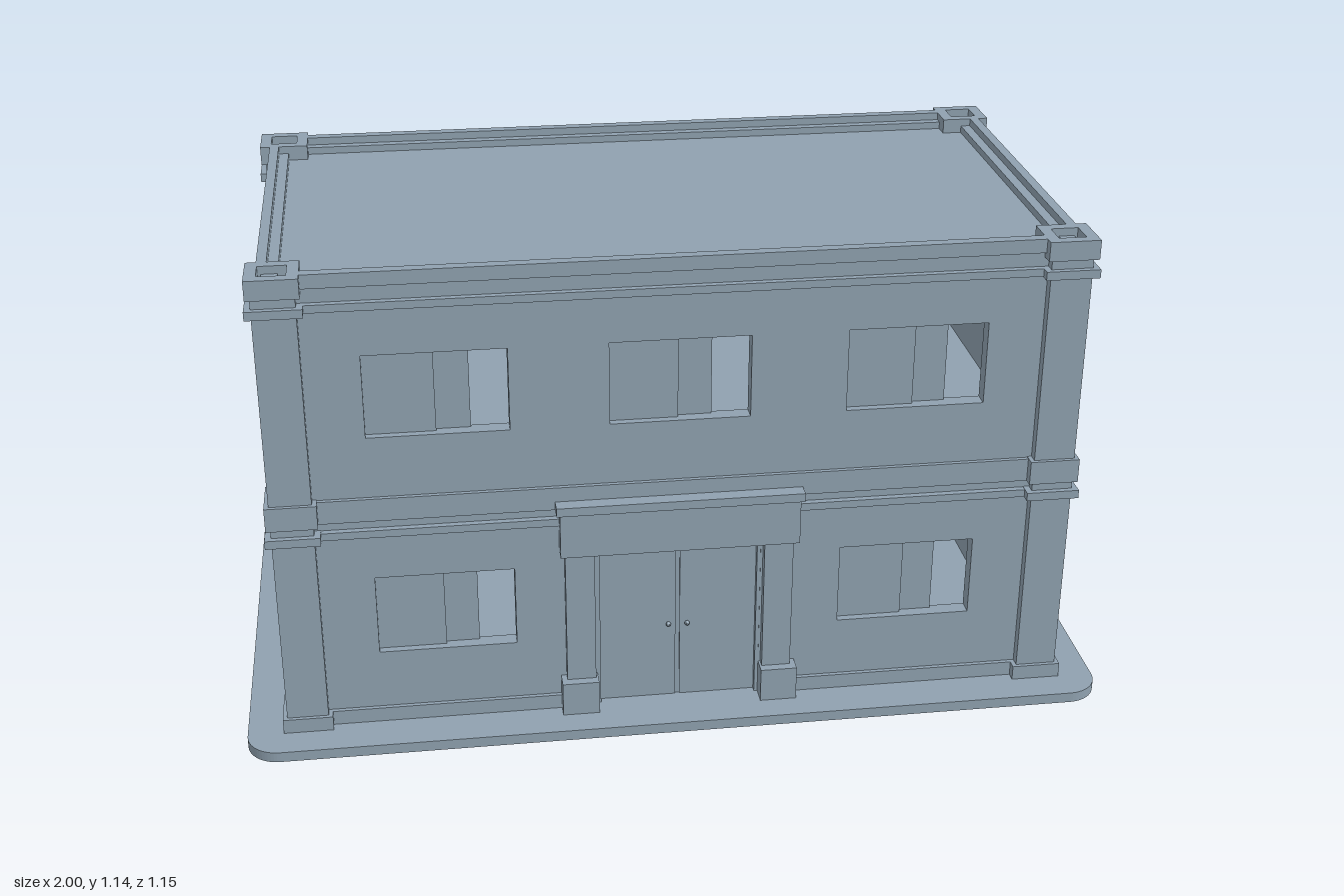
import * as THREE from 'three';

const mat = new THREE.MeshStandardMaterial({ color: 0x8fa1af, flatShading: true });

function add(parent, name, geometry) {
  const m = new THREE.Mesh(geometry, mat);
  m.name = name;
  parent.add(m);
  return m;
}

// box given by its extents on each axis
function box(parent, name, [x0, x1], [y0, y1], [z0, z1]) {
  const m = add(parent, name, new THREE.BoxGeometry(x1 - x0, y1 - y0, z1 - z0));
  m.position.set((x0 + x1) / 2, (y0 + y1) / 2, (z0 + z1) / 2);
  return m;
}

// an interval, mirrored to the negative side when k < 0
const span = (k, a, b) => (k > 0 ? [a, b] : [-b, -a]);

function rectPath(target, x0, x1, y0, y1) {
  target.moveTo(x0, y0);
  target.lineTo(x1, y0);
  target.lineTo(x1, y1);
  target.lineTo(x0, y1);
  target.closePath();
  return target;
}

// rectangular ring of half sizes (ox, oz) with opening (ix, iz), from y0 to y1
function ring(parent, name, ox, oz, ix, iz, y0, y1) {
  const s = rectPath(new THREE.Shape(), -ox, ox, -oz, oz);
  s.holes.push(rectPath(new THREE.Path(), -ix, ix, -iz, iz));
  const g = new THREE.ExtrudeGeometry(s, { depth: y1 - y0, bevelEnabled: false });
  g.rotateX(-Math.PI / 2);
  const m = add(parent, name, g);
  m.position.y = y0;
  return m;
}

const WX = 0.885, WZ = 0.467;      // outer wall faces
const IX = 0.85, IZ = 0.43;        // inner wall faces
const GROUND = 0.025, ROOF = 1.105, TOP = 1.14;
const WIN_HALF = 0.157;
const WINDOWS = [[-0.532, 0.205], [0.533, 0.205], [-0.532, 0.75], [0.002, 0.75], [0.533, 0.75]];

function makeBase(parent) {
  const X = 1, Z = 0.575, r = 0.075;
  const s = new THREE.Shape();
  s.absarc(X - r, Z - r, r, 0, Math.PI / 2);
  s.absarc(-X + r, Z - r, r, Math.PI / 2, Math.PI);
  s.absarc(-X + r, -Z + r, r, Math.PI, Math.PI * 1.5);
  s.absarc(X - r, -Z + r, r, Math.PI * 1.5, Math.PI * 2);
  const g = new THREE.ExtrudeGeometry(s, { depth: GROUND, bevelEnabled: false, curveSegments: 8 });
  g.rotateX(-Math.PI / 2);
  add(parent, 'baseSlab', g);
}

function makeWalls(parent) {
  // front wall with window and door openings
  const s = new THREE.Shape();
  [[-WX, GROUND], [-0.19, GROUND], [-0.19, 0.437], [0.19, 0.437], [0.19, GROUND],
    [WX, GROUND], [WX, ROOF], [-WX, ROOF]].forEach(([x, y], i) => (i ? s.lineTo(x, y) : s.moveTo(x, y)));
  s.closePath();
  for (const [x, y] of WINDOWS) {
    s.holes.push(rectPath(new THREE.Path(), x - WIN_HALF, x + WIN_HALF, y, y + 0.195));
  }
  const front = add(parent, 'frontWall', new THREE.ExtrudeGeometry(s, { depth: WZ - IZ, bevelEnabled: false }));
  front.position.z = IZ;
  box(parent, 'backWall', [-WX, WX], [GROUND, ROOF], [-WZ, -IZ]);
  box(parent, 'leftWall', [IX, WX], [GROUND, ROOF], [-IZ, IZ]);
  box(parent, 'rightWall', [-WX, -IX], [GROUND, ROOF], [-IZ, IZ]);
  box(parent, 'upperFloor', [-IX, IX], [0.53, 0.58], [-IZ, IZ]);
  box(parent, 'roof', [-IX, IX], [1.06, ROOF], [-IZ, IZ]);

  // plinth strips and parapet runs between the corner pillars
  const plinth = [GROUND, 0.06], parapet = [1.108, TOP];
  for (const k of [-1, 1]) {
    box(parent, 'frontPlinth', span(k, 0.2, 0.82), plinth, [WZ - 0.01, WZ + 0.01]);
    box(parent, 'sidePlinth', span(k, WX - 0.01, WX + 0.01), plinth, [-0.41, 0.41]);
    box(parent, 'longParapet', [-0.806, 0.806], parapet, span(k, 0.452, WZ + 0.01));
    box(parent, 'sideParapet', span(k, 0.873, WX + 0.01), parapet, [-0.393, 0.393]);
  }
  box(parent, 'backPlinth', [-0.82, 0.82], plinth, [-WZ - 0.01, -WZ + 0.01]);
  ring(parent, 'parapetLedge', WX, WZ, IX, IZ, 1.09, 1.122);

  // horizontal mouldings
  for (const y of [0.511, 1.055]) ring(parent, 'moulding', WX + 0.018, WZ + 0.015, WX - 0.01, WZ - 0.01, y, y + 0.018);
  ring(parent, 'floorBand', WX + 0.01, WZ + 0.01, WX - 0.01, WZ - 0.01, 0.55, 0.605);
}

function makePillar(parent, sx, sz) {
  const pillar = new THREE.Group();
  pillar.name = 'cornerPillar';
  pillar.position.set(sx * 0.861, 0, sz * 0.445);
  const block = (name, hx, hz, y0, y1) => box(pillar, name, [-hx, hx], [y0, y1], [-hz, hz]);
  block('pillarShaft', 0.047, 0.045, GROUND, ROOF);
  block('pillarFoot', 0.057, 0.054, GROUND, 0.06);
  block('pillarBand', 0.057, 0.054, 0.55, 0.607);
  for (const y of [0.51, 1.053]) block('pillarMoulding', 0.061, 0.058, y, y + 0.02);
  // hollow cap, open down to the ledge and pillar top
  ring(pillar, 'pillarCap', 0.057, 0.054, 0.031, 0.029, 1.095, TOP);
  parent.add(pillar);
}

function makeWindow(parent, x, y) {
  const w = new THREE.Group();
  w.name = 'slidingWindow';
  w.position.set(x, y, 0);
  // one fixed pane and one slid part way behind it
  box(w, 'fixedPane', [-WIN_HALF, -0.003], [0, 0.195], [0.443, 0.449]);
  box(w, 'slidingPane', [-0.08, 0.073], [0, 0.195], [0.433, 0.439]);
  parent.add(w);
}

function makeEntrance(parent) {
  const e = new THREE.Group();
  e.name = 'entrance';
  for (const k of [-1, 1]) {
    box(e, 'doorPilaster', span(k, 0.195, 0.262), [GROUND, 0.45], [0.44, 0.488]);
    box(e, 'pilasterFoot', span(k, 0.19, 0.275), [GROUND, 0.108], [0.44, 0.509]);
    box(e, 'doorJamb', span(k, 0.182, 0.196), [GROUND, 0.437], [0.435, 0.466]);
    box(e, 'doorLeaf', span(k, 0.005, 0.183), [GROUND, 0.424], [0.436, 0.452]);
    const knob = add(e, 'doorKnob', new THREE.SphereGeometry(0.006, 10, 8));
    knob.position.set(k * 0.022, 0.22, 0.457);
  }
  box(e, 'doorMeetingStrip', [-0.008, 0.008], [GROUND, 0.424], [0.43, 0.448]);
  box(e, 'doorHead', [-0.183, 0.183], [0.422, 0.44], [0.435, 0.466]);
  box(e, 'lintel', [-0.273, 0.273], [0.44, 0.555], [0.44, 0.504]);
  box(e, 'lintelCap', [-0.281, 0.281], [0.549, 0.57], [0.44, 0.511]);
  parent.add(e);
}

export function createModel() {
  const model = new THREE.Group();
  model.name = 'building';
  makeBase(model);
  makeWalls(model);
  for (const sx of [-1, 1]) for (const sz of [-1, 1]) makePillar(model, sx, sz);
  for (const [x, y] of WINDOWS) makeWindow(model, x, y);
  makeEntrance(model);
  return model;
}
